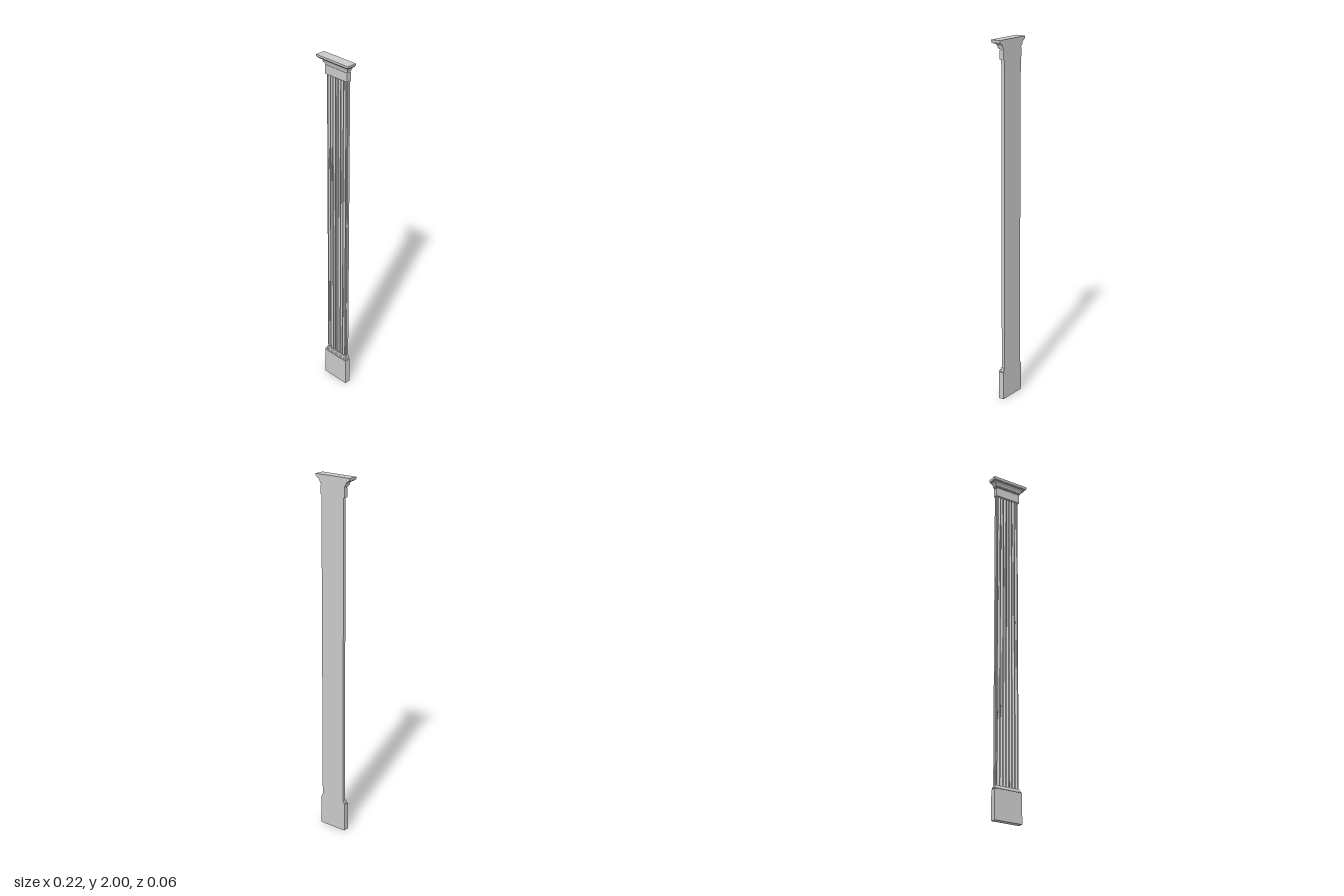
import * as THREE from 'three';
import { toCreasedNormals } from 'three/addons/utils/BufferGeometryUtils.js';

const HALF = 0.072;    // shaft half width
const FRONT = -0.006;  // shaft front plane
const BACK = -0.028;   // flat wall side
const material = new THREE.MeshStandardMaterial({ color: 0xcccccc });

// Mitred moulding round front and sides: profile rows are [y, projection]
function moulding(name, profile) {
  const pos = [];
  const ring = ([y, p]) => {
    const w = HALF + p, f = FRONT + p * 0.9;
    return [[-w, y, BACK], [-w, y, f], [w, y, f], [w, y, BACK]];
  };
  const quad = (a, b, c, d) => pos.push(...a, ...b, ...c, ...a, ...c, ...d);
  const rings = profile.map(ring);
  for (let i = 0; i < rings.length - 1; i++) {
    const lo = rings[i], hi = rings[i + 1];
    for (let k = 0; k < 4; k++) {
      const n = (k + 1) % 4;
      quad(lo[k], lo[n], hi[n], hi[k]);
    }
  }
  const b = rings[0], t = rings[rings.length - 1];
  quad(b[3], b[2], b[1], b[0]);
  quad(t[0], t[1], t[2], t[3]);
  const geo = new THREE.BufferGeometry();
  geo.setAttribute('position', new THREE.Float32BufferAttribute(pos, 3));
  geo.computeVertexNormals();
  const mesh = new THREE.Mesh(toCreasedNormals(geo, 0.6), material);
  mesh.name = name;
  return mesh;
}

// Quarter curve between two profile points; hollow = cove, otherwise rounded
function quarter([y0, p0], [y1, p1], hollow, n = 6) {
  return Array.from({ length: n + 1 }, (_, i) => {
    const a = (i / n) * Math.PI / 2;
    const u = hollow ? Math.sin(a) : 1 - Math.cos(a);
    const v = hollow ? 1 - Math.cos(a) : Math.sin(a);
    return [y0 + (y1 - y0) * u, p0 + (p1 - p0) * v];
  });
}

// Fluted plan extruded upwards, with a rebate at each front corner
function fluteShaft(y0, y1) {
  const flutes = 7, pitch = 0.0185, r = 0.0066, step = 0.006, rebateZ = -0.014;
  const s = new THREE.Shape(); // shape y is -z
  s.moveTo(-HALF, -BACK);
  s.lineTo(-HALF, -rebateZ);
  s.lineTo(-HALF + step * 0.6, -rebateZ);
  s.lineTo(-HALF + step * 0.6, -FRONT);
  for (let i = 0; i < flutes; i++) {
    const cx = (i - (flutes - 1) / 2) * pitch;
    for (let k = 0; k <= 8; k++) {
      const a = (k / 8) * Math.PI;
      s.lineTo(cx - r * Math.cos(a), -FRONT + r * 1.1 * Math.sin(a));
    }
  }
  s.lineTo(HALF - step * 0.6, -FRONT);
  s.lineTo(HALF - step * 0.6, -rebateZ);
  s.lineTo(HALF, -rebateZ);
  s.lineTo(HALF, -BACK);
  s.closePath();
  const geo = new THREE.ExtrudeGeometry(s, { depth: y1 - y0, bevelEnabled: false });
  geo.rotateX(-Math.PI / 2).translate(0, y0, 0);
  const mesh = new THREE.Mesh(toCreasedNormals(geo, 0.6), material);
  mesh.name = 'flutedShaft';
  return mesh;
}

export function createModel() {
  const group = new THREE.Group();
  group.name = 'pilaster';

  group.add(moulding('plinth', [[0, 0.011], [0.16, 0.011]]));

  // Base: shallow groove, round, then a cove dying into the shaft
  group.add(moulding('baseMoulding', [
    [0.16, 0.008], [0.164, 0.008], [0.164, 0.01],
    ...quarter([0.166, 0.011], [0.174, 0.006], false),
    ...quarter([0.184, 0.001], [0.174, 0.006], true).reverse(),
  ]));

  group.add(fluteShaft(0.17, 1.91));

  group.add(moulding('neckBlock', [[1.897, 0.005], [1.946, 0.005]]));

  // Crown: astragal, cove, fillet, ovolo and top slab
  group.add(moulding('crownMoulding', [
    [1.946, 0.003], [1.951, 0.003],
    ...quarter([1.951, 0.006], [1.956, 0.01], true, 4),
    [1.96, 0.01], [1.96, 0.012],
    ...quarter([1.962, 0.013], [1.98, 0.029], true),
    [1.983, 0.029], [1.983, 0.031],
    ...quarter([1.985, 0.032], [1.992, 0.038], false, 4),
    [2.0, 0.038],
  ]));

  return group;
}
